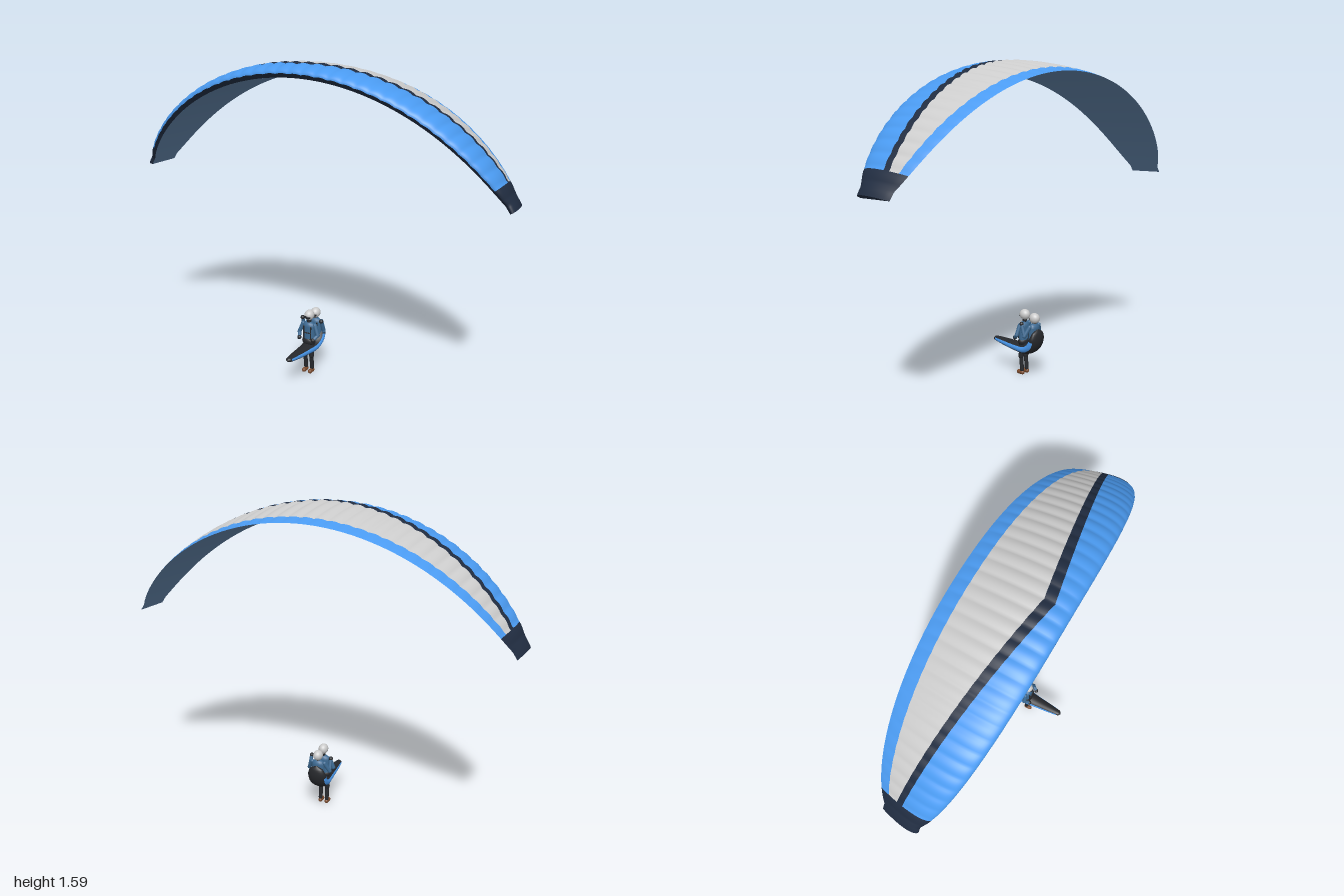
import * as THREE from 'three';

const V = (x, y, z) => new THREE.Vector3(x, y, z);
const paint = (color) => new THREE.MeshStandardMaterial({ color, side: THREE.DoubleSide });
const BLUE = paint(0x4a9af0), NAVY = paint(0x202c40), WHITE = paint(0xe0e0e0), UNDER = paint(0x5f80a4);
const BLACK = paint(0x26282c), JACKET = paint(0x3d6a92), BOOT = paint(0x7a4a2c);

// Surface from a rule p(i, j) with i and j running 0..1
function sheet(name, mat, n, m, p) {
  const pos = [], idx = [];
  for (let i = 0; i <= n; i++) {
    for (let j = 0; j <= m; j++) {
      pos.push(...p(i / n, j / m).toArray());
      if (i < n && j < m) {
        const a = i * (m + 1) + j, b = a + m + 1;
        idx.push(a, b, a + 1, b, b + 1, a + 1);
      }
    }
  }
  const g = new THREE.BufferGeometry();
  g.setAttribute('position', new THREE.Float32BufferAttribute(pos, 3));
  g.setIndex(idx);
  g.computeVertexNormals();
  const mesh = new THREE.Mesh(g, mat);
  mesh.name = name;
  return mesh;
}

// Wing: s runs -1..1 along the span, u runs 0..1 from leading to trailing edge
const R = 1.18, CENTRE_Y = 0.345, SWEEP = 0.988, CELLS = 36;
const lerp = THREE.MathUtils.lerp;

function section(s) {
  const x = R * Math.sin(s * SWEEP), ax = Math.min(Math.abs(x), 1);
  const k = Math.max(0.38, Math.pow(1 - Math.pow(ax, 2.5), 0.4));
  return { ax, k, lead: -0.0135 - 0.016 * s * s + 0.2515 * k, chord: 0.503 * k };
}

function wingPoint(s, u, top) {
  const { k, lead, chord } = section(s);
  let h = 0;
  if (top) {
    const foil = 10 * (0.2969 * Math.sqrt(u) - 0.126 * u - 0.3516 * u ** 2 + 0.2843 * u ** 3 - 0.1036 * u ** 4);
    const billow = Math.abs(Math.sin(Math.PI * CELLS * s / 2)) * Math.sqrt(Math.max(0, Math.sin(Math.PI * (0.1 + 0.9 * u))));
    h = (0.018 * (1 - u) + 0.045 * foil + 0.007 * billow) * (0.2 + 0.8 * k);
  }
  const a = s * SWEEP;
  return V((R + h) * Math.sin(a), CENTRE_Y + (R + h) * Math.cos(a), lead - u * chord);
}

function makeCanopy() {
  const g = new THREE.Group();
  g.name = 'canopy';
  const TIP = 0.9, INTAKE = 0.04;
  const atZ = (z0, slope) => (s) => {
    const c = section(s);
    return (c.lead - (z0 - slope * c.ax)) / c.chord;
  };
  // Colour borders along the chord
  const edges = [() => 0, atZ(0.16, 0.212), atZ(0.11, 0.19), (s) => 0.86 - 0.04 * s * s, () => 1];
  const bands = [['leadingPanel', BLUE, 14], ['chevronBand', NAVY, 4], ['whitePanel', WHITE, 12], ['trailingPanel', BLUE, 5]];
  bands.forEach(([name, mat, m], b) => g.add(sheet(name, mat, 260, m, (i, j) => {
    const s = lerp(-TIP, TIP, i);
    const t = b === 0 ? j * j : j;
    return wingPoint(s, lerp(edges[b](s), edges[b + 1](s), t), true);
  })));
  g.add(sheet('underside', UNDER, 120, 6, (i, j) => wingPoint(2 * i - 1, lerp(INTAKE, 1, j), false)));
  g.add(sheet('airIntakes', NAVY, 280, 1, (i, j) => wingPoint(2 * i - 1, j ? 0 : INTAKE, !!j)));
  for (const side of [-1, 1]) {
    g.add(sheet('wingTip', NAVY, 16, 24, (i, j) => wingPoint(side * lerp(TIP, 1, i), j * j, true)));
    g.add(sheet('tipCap', NAVY, 1, 24, (i, j) => wingPoint(side, i ? j * j : Math.max(INTAKE, j * j), !!i)));
  }
  return g;
}

// Harness pod: ellipses swept along a curve from the nose back and up the backrest
function makePod() {
  const g = new THREE.Group();
  g.name = 'harnessPod';
  // z, y, half width, half depth
  const rows = [[0.266, 0.152, 0.002, 0.002], [0.255, 0.151, 0.015, 0.011], [0.2, 0.146, 0.024, 0.018],
    [0.1, 0.138, 0.035, 0.025], [0.03, 0.14, 0.045, 0.029], [-0.01, 0.163, 0.05, 0.03],
    [-0.028, 0.2, 0.05, 0.026], [-0.034, 0.235, 0.036, 0.016], [-0.034, 0.252, 0.003, 0.003]];
  const path = new THREE.CatmullRomCurve3(rows.map((r) => V(0, r[1], r[0])));
  const size = new THREE.CatmullRomCurve3(rows.map((r) => V(r[2], r[3], 0)));
  const at = (t, a) => {
    const c = path.getPoint(t), d = path.getTangent(t), r = size.getPoint(t);
    const out = r.y * Math.sin(a);
    return V(r.x * Math.cos(a), c.y - d.z * out, c.z + d.y * out);
  };
  const patch = (name, mat, t0, t1, a0, a1) => g.add(sheet(name, mat, 30, 10, (i, j) => at(lerp(t0, t1, i), lerp(a0, a1, j))));
  const W = 0.5;
  for (const c of [0, Math.PI]) {
    patch('podShell', BLACK, 0, 1, c + W, c + Math.PI - W);
    patch('podNoseSide', BLACK, 0, 0.15, c - W, c + W);
    patch('podStripe', BLUE, 0.15, 0.72, c - W, c + W);
    patch('podBackSide', BLACK, 0.72, 1, c - W, c + W);
  }
  return g;
}

function limb(name, mat, a, b, r) {
  const d = b.clone().sub(a);
  const m = new THREE.Mesh(new THREE.CapsuleGeometry(r, d.length(), 5, 12), mat);
  m.position.copy(a).add(b).multiplyScalar(0.5);
  m.quaternion.setFromUnitVectors(V(0, 1, 0), d.normalize());
  m.name = name;
  return m;
}

function ball(name, mat, p, r, sx = 1, sy = 1, sz = 1) {
  const m = new THREE.Mesh(new THREE.SphereGeometry(r, 24, 16), mat);
  m.position.copy(p);
  m.scale.set(sx, sy, sz);
  m.name = name;
  return m;
}

// Upper body; elbow and hand are given for the left arm and mirrored
function makePerson(name, z, headY, headZ, elbow, hand) {
  const g = new THREE.Group();
  g.name = name;
  const torso = limb('torso', JACKET, V(0, 0.19, 0), V(0, 0.255, 0), 0.026);
  torso.position.z = z;
  torso.scale.set(1.35, 1, 0.85);
  g.add(torso, limb('neck', BLACK, V(0, 0.27, z), V(0, headY - 0.015, headZ), 0.011));
  g.add(ball('helmet', WHITE, V(0, headY, headZ), 0.027, 0.92, 1, 1.05));
  g.add(ball('visor', BLACK, V(0, headY - 0.005, headZ + 0.012), 0.019, 1, 0.7, 1));
  for (const s of [-1, 1]) {
    const mirror = (p) => V(p.x * s, p.y, p.z);
    g.add(limb('upperArm', JACKET, V(0.035 * s, 0.265, z), mirror(elbow), 0.0105));
    g.add(limb('forearm', JACKET, mirror(elbow), mirror(hand), 0.009));
    g.add(ball('glove', BLACK, mirror(hand), 0.011));
    g.add(limb('harnessStrap', BLACK, V(0.02 * s, 0.19, z + 0.021), V(0.02 * s, 0.258, z + 0.019), 0.0035));
  }
  g.add(limb('chestStrap', BLACK, V(-0.02, 0.225, z + 0.023), V(0.02, 0.225, z + 0.023), 0.003));
  return g;
}

export function createModel() {
  const model = new THREE.Group();
  model.name = 'tandemParaglider';
  model.add(makeCanopy(), makePod());

  // Rear pilot sits in the pod with hands raised
  model.add(makePerson('pilot', -0.012, 0.305, -0.015, V(0.058, 0.22, 0.003), V(0.055, 0.28, 0.024)));

  // Front passenger stands ahead of the pilot
  const passenger = makePerson('passenger', 0.053, 0.315, 0.05, V(0.054, 0.215, 0.058), V(0.04, 0.195, 0.083));
  passenger.add(ball('hips', BLACK, V(0, 0.175, 0.055), 0.03, 1.25, 0.85, 0.85));
  for (const s of [-1, 1]) {
    passenger.add(limb('thigh', BLACK, V(0.018 * s, 0.17, 0.055), V(0.018 * s, 0.095, 0.06), 0.0135));
    passenger.add(limb('shin', BLACK, V(0.018 * s, 0.095, 0.06), V(0.018 * s, 0.025, 0.054), 0.0105));
    passenger.add(limb('boot', BOOT, V(0.018 * s, 0.011, 0.051), V(0.018 * s, 0.011, 0.075), 0.011));
  }
  model.add(passenger);
  return model;
}
